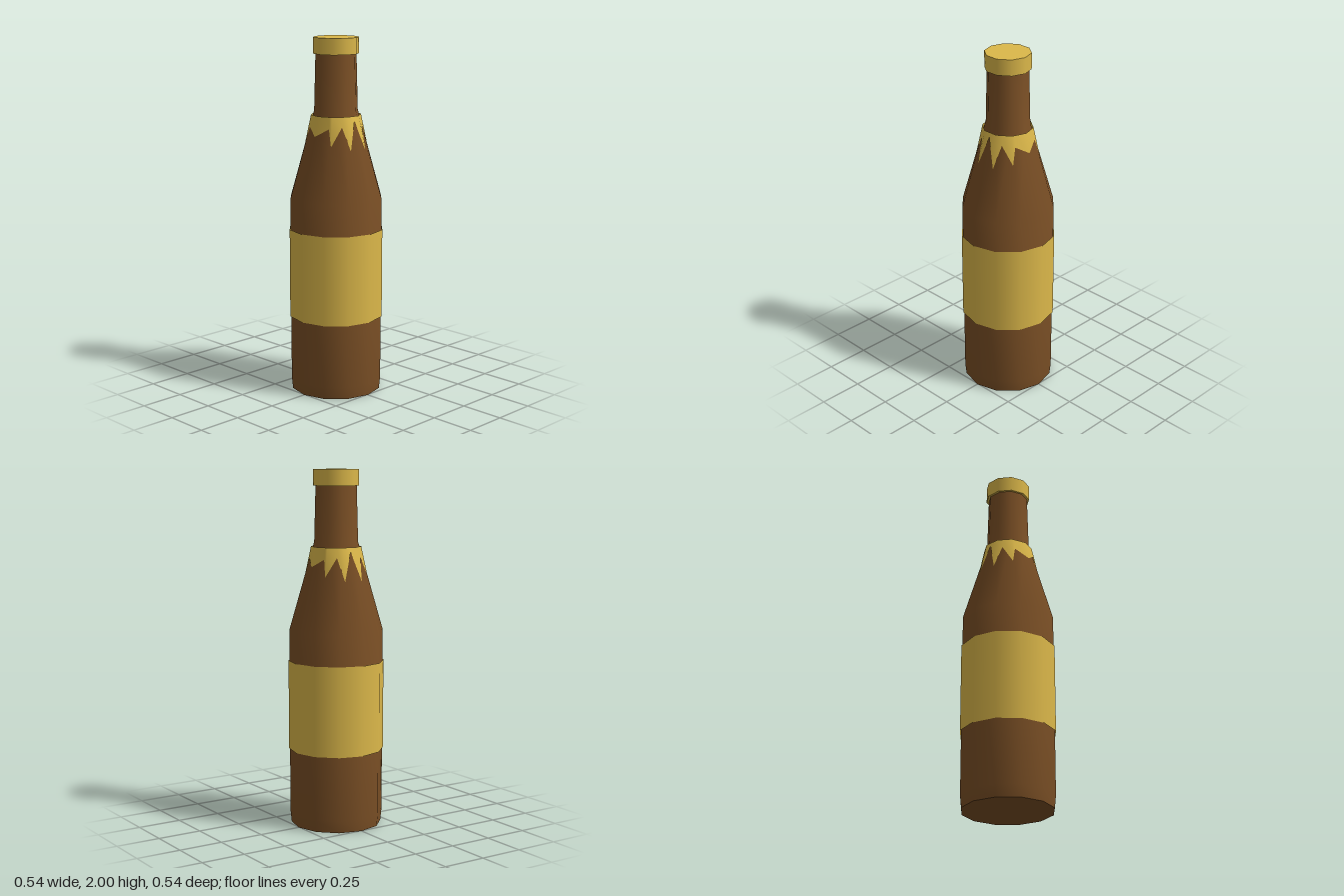
import * as THREE from 'three';
import { toCreasedNormals } from 'three/addons/utils/BufferGeometryUtils.js';

const CREASE = 0.9;

// Point on a circle; angle 0 faces +z and grows towards +x.
const polar = (a, r, y) => [Math.sin(a) * r, y, Math.cos(a) * r];
const ring = (n, r, y) => Array.from({ length: n }, (_, i) => polar((i / n) * Math.PI * 2, r, y));

// Joins two closed rings, which may have different numbers of corners.
function bridge(out, low, high) {
  const n = low.length, m = high.length;
  for (let i = 0, j = 0; i < n || j < m;) {
    if (i < n && (j >= m || (i + 0.5) / n <= (j + 0.5) / m)) {
      out.push(...low[i], ...low[(i + 1) % n], ...high[j % m]);
      i++;
    } else {
      out.push(...low[i % n], ...high[(j + 1) % m], ...high[j]);
      j++;
    }
  }
}

function toGeometry(positions) {
  const g = new THREE.BufferGeometry();
  g.setAttribute('position', new THREE.Float32BufferAttribute(positions, 3));
  return toCreasedNormals(g, CREASE);
}

// Glass: twelve-sided body that narrows into a ten-sided neck.
function glassGeometry() {
  const rings = [
    ring(12, 0.255, 0), ring(12, 0.262, 0.07), ring(12, 0.262, 1.11),
    ring(10, 0.122, 1.6), ring(10, 0.113, 1.95),
  ];
  const out = [];
  const base = rings[0];
  base.forEach((p, i) => out.push(0, 0, 0, ...base[(i + 1) % base.length], ...p));
  for (let i = 0; i < rings.length - 1; i++) bridge(out, rings[i], rings[i + 1]);
  return toGeometry(out);
}

// Foil collar: straight ten-sided top edge, jagged lower edge.
function collarGeometry() {
  // Degrees, radius and height of the jagged edge for one quarter turn.
  const quarter = [
    [0, 0.164, 1.465], [30, 0.149, 1.51], [36, 0.174, 1.415],
    [58, 0.146, 1.52], [72, 0.18, 1.39], [90, 0.142, 1.55],
  ];
  const half = [...quarter, ...quarter.slice(0, 5).reverse().map(([d, r, y]) => [180 - d, r, y])];
  const edge = [...half, ...half.slice(1, -1).reverse().map(([d, r, y]) => [360 - d, r, y])];
  const rad = Math.PI / 180;
  const low = edge.map(([d, r, y]) => polar(d * rad, r, y));
  const high = edge.map(([d]) => {
    const r = 0.14 * Math.cos(18 * rad) / Math.cos(((d % 36) - 18) * rad);
    return polar(d * rad, r, 1.575);
  });
  const out = [];
  bridge(out, low, high);
  return toGeometry(out);
}

export function createModel() {
  const brown = new THREE.MeshStandardMaterial({ color: 0x7a4f25 });
  brown.name = 'brownGlass';
  const gold = new THREE.MeshStandardMaterial({ color: 0xdcb84a, side: THREE.DoubleSide });
  gold.name = 'gold';

  const model = new THREE.Group();
  model.name = 'bottle';
  const add = (name, geometry, material, y = 0) => {
    const mesh = new THREE.Mesh(geometry, material);
    mesh.name = name;
    mesh.position.y = y;
    model.add(mesh);
  };

  add('glassBody', glassGeometry(), brown);
  add('label', new THREE.CylinderGeometry(0.268, 0.268, 0.505, 12, 1, true), gold, 0.6825);
  add('foilCollar', collarGeometry(), gold);
  add('cap', new THREE.CylinderGeometry(0.127, 0.127, 0.09, 10), gold, 1.955);
  return model;
}
